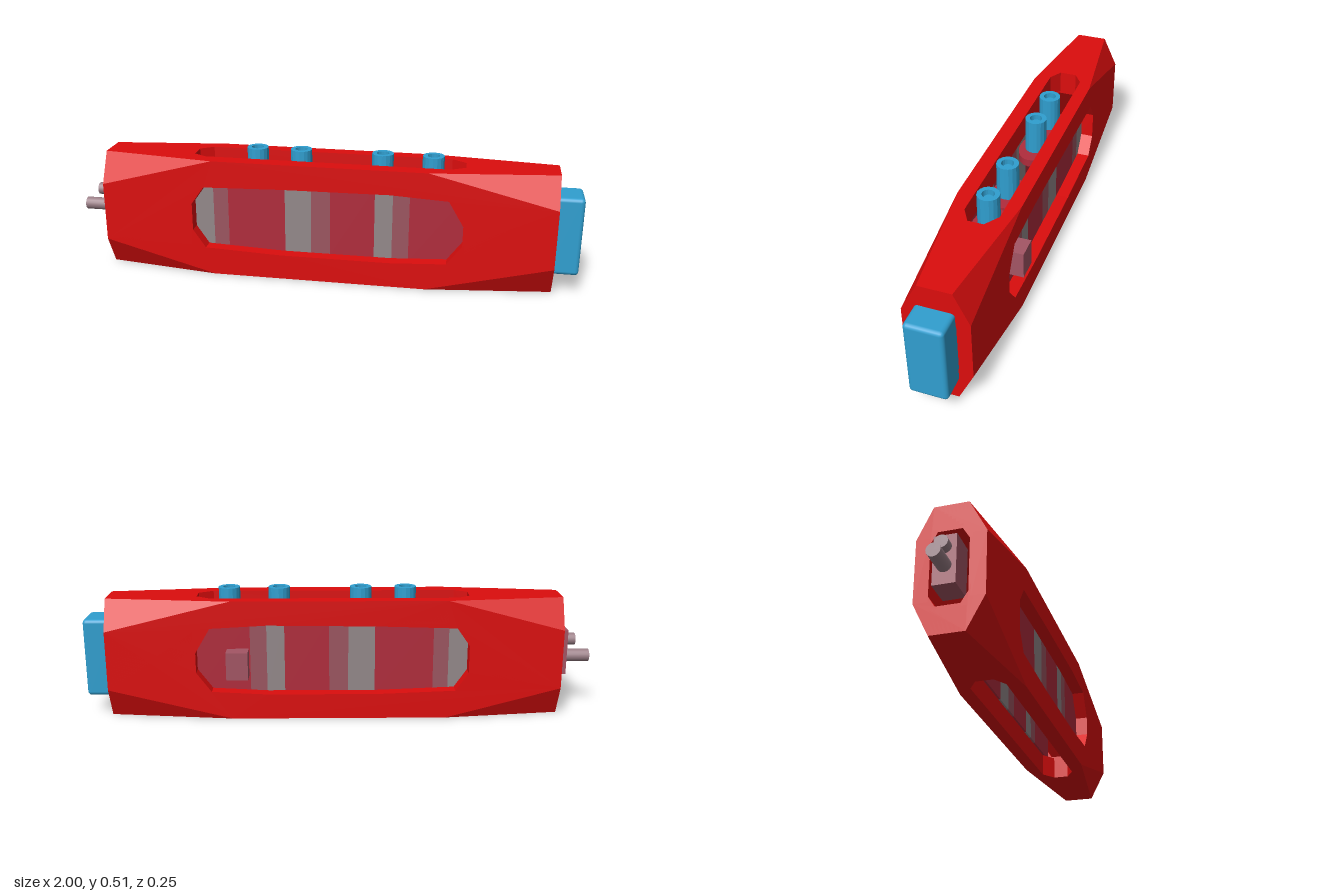
import * as THREE from 'three';
import { RoundedBoxGeometry } from 'three/addons/geometries/RoundedBoxGeometry.js';

const material = (name, color, side = THREE.FrontSide) => {
  const m = new THREE.MeshStandardMaterial({ color, side });
  m.name = name;
  return m;
};

export function createModel() {
  const red = material('red shell', 0xdc0d0d, THREE.DoubleSide);
  const blue = material('blue', 0x309fd0);
  const crimson = material('crimson', 0xb02c3c);
  const rose = material('dusty rose', 0x9c5560);
  const grey = material('warm grey', 0x93888a);
  const mauve = material('mauve', 0xa35564);
  const pinGrey = material('pin grey', 0x9c8088);

  const model = new THREE.Group();
  model.name = 'device';
  const add = (name, geometry, mat, x = 0, y = 0, z = 0, parent = model) => {
    const mesh = new THREE.Mesh(geometry, mat);
    mesh.name = name;
    mesh.position.set(x, y, z);
    parent.add(mesh);
    return mesh;
  };

  // Shell limits, and where the corner cuts meet each edge
  const X0 = -0.87, X1 = 0.905, H = 0.475, ZF = 0.128, ZB = -0.115;
  const cx = 0.42, yLow = 0.12, yHigh = 0.355, zf = 0.065, zb = -0.058;

  const plate = (outline, hole, depth) => {
    const toVectors = (pts) => pts.map(([a, b]) => new THREE.Vector2(a, b));
    const shape = new THREE.Shape(toVectors(outline));
    shape.holes.push(new THREE.Path(toVectors(hole)));
    return new THREE.ExtrudeGeometry(shape, { depth, bevelEnabled: false });
  };

  const shell = new THREE.Group();
  shell.name = 'shell';
  model.add(shell);

  // Front and back walls with their long windows
  const sideOutline = [[-cx, 0], [cx, 0], [X1, yLow], [X1, yHigh], [cx, H], [-cx, H], [X0, yHigh], [X0, yLow]];
  const windowHole = [[-0.505, 0.185], [-0.455, 0.112], [-0.15, 0.1], [0.28, 0.1], [0.5, 0.112], [0.558, 0.19],
    [0.558, 0.27], [0.5, 0.368], [0.28, 0.38], [-0.15, 0.375], [-0.455, 0.366], [-0.505, 0.295]];
  add('frontWall', plate(sideOutline, windowHole, 0.05), red, 0, 0, ZF - 0.05, shell);
  add('backWall', plate(sideOutline, windowHole, 0.05), red, 0, 0, ZB, shell);

  // Top and bottom walls with their slots
  const capOutline = [[-cx, ZB], [cx, ZB], [X1, zb], [X1, zf], [cx, ZF], [-cx, ZF], [X0, zf], [X0, zb]];
  const slotHole = [[-0.515, -0.025], [-0.46, -0.063], [0.5, -0.063], [0.555, -0.025],
    [0.555, 0.035], [0.5, 0.068], [-0.46, 0.068], [-0.515, 0.035]];
  const slotPlate = plate(capOutline, slotHole, 0.09).rotateX(Math.PI / 2);
  add('topWall', slotPlate, red, 0, H, 0, shell);
  add('bottomWall', slotPlate, red, 0, 0.09, 0, shell);

  // End blocks with a tunnel into the hollow middle
  const endOutline = [[zb, 0], [zf, 0], [ZF, yLow], [ZF, yHigh], [zf, H], [zb, H], [ZB, yHigh], [ZB, yLow]];
  const endHole = [[-0.064, 0.14], [-0.04, 0.1], [0.045, 0.1], [0.07, 0.14],
    [0.07, 0.335], [0.045, 0.375], [-0.04, 0.375], [-0.064, 0.335]];
  const endPlate = (depth) => plate(endOutline, endHole, depth).rotateY(-Math.PI / 2);
  add('rightEnd', endPlate(0.36), red, X0 + 0.36, 0, 0, shell);
  add('leftEnd', endPlate(0.34), red, X1, 0, 0, shell);

  // Eight triangular corner cuts
  const corners = [];
  for (const [sx, xEnd] of [[-1, X0], [1, X1]]) {
    for (const [yEdge, yCut] of [[0, yLow], [H, yHigh]]) {
      for (const [zEdge, zCut] of [[ZB, zb], [ZF, zf]]) {
        const a = [sx * cx, yEdge, zEdge], b = [xEnd, yCut, zEdge], c = [xEnd, yEdge, zCut];
        const flip = sx * (yEdge ? 1 : -1) * (zEdge > 0 ? 1 : -1) > 0;
        corners.push(...a, ...(flip ? b : c), ...(flip ? c : b));
      }
    }
  }
  const cornerGeometry = new THREE.BufferGeometry();
  cornerGeometry.setAttribute('position', new THREE.Float32BufferAttribute(corners, 3));
  cornerGeometry.computeVertexNormals();
  add('cornerCuts', cornerGeometry, red, 0, 0, 0, shell);

  // Banded panels behind both windows
  const bands = [
    [-0.52, -0.43, grey], [-0.43, -0.37, rose], [-0.37, -0.14, crimson],
    [-0.14, -0.035, grey], [-0.035, 0.04, rose], [0.04, 0.215, crimson],
    [0.215, 0.285, grey], [0.285, 0.35, rose], [0.35, 0.57, crimson],
  ];
  for (const [name, z] of [['frontPanel', ZF - 0.054], ['backPanel', ZB + 0.054]]) {
    const panel = new THREE.Group();
    panel.name = name;
    model.add(panel);
    for (const [a, b, mat] of bands) {
      add('band', new THREE.BoxGeometry(b - a, 0.295, 0.008), mat, (a + b) / 2, 0.24, z, panel);
    }
  }

  // Four ringed buttons standing on discs in the top slot
  const ring = new THREE.LatheGeometry(
    [[0.024, 0.36], [0.042, 0.36], [0.042, 0.507], [0.024, 0.507], [0.024, 0.36]]
      .map(([r, y]) => new THREE.Vector2(r, y)), 16).toNonIndexed();
  ring.computeVertexNormals();
  const core = new THREE.CylinderGeometry(0.018, 0.018, 0.12, 12);
  const disc = new THREE.CylinderGeometry(0.095, 0.095, 0.03, 20).scale(1, 1, 0.68);
  for (const x of [-0.26, -0.085, 0.235, 0.43]) {
    const button = new THREE.Group();
    button.name = 'button';
    button.position.set(x, 0, 0.006);
    model.add(button);
    add('buttonRing', ring, blue, 0, 0, 0, button);
    add('buttonCore', core, blue, 0, 0.43, 0, button);
    add('buttonDisc', disc, crimson, 0, 0.355, 0, button);
  }

  // Rounded end cap
  add('endCap', new RoundedBoxGeometry(0.13, 0.31, 0.142, 2, 0.015), blue, 0.935, 0.235, 0.009);

  // Connector plate with two pins
  add('connectorPlate', new THREE.BoxGeometry(0.1, 0.18, 0.08), mauve, -0.855, 0.245, 0);
  const pin = (name, length, radius, y) => add(name,
    new THREE.CylinderGeometry(radius, radius, length, 16).rotateZ(Math.PI / 2),
    pinGrey, -0.9 - length / 2, y, 0);
  pin('longPin', 0.1, 0.025, 0.222);
  pin('shortPin', 0.04, 0.024, 0.29);

  // Small block on the back window
  add('backBlock', new THREE.BoxGeometry(0.085, 0.11, 0.064), mauve, 0.398, 0.218, -0.095);

  return model;
}
